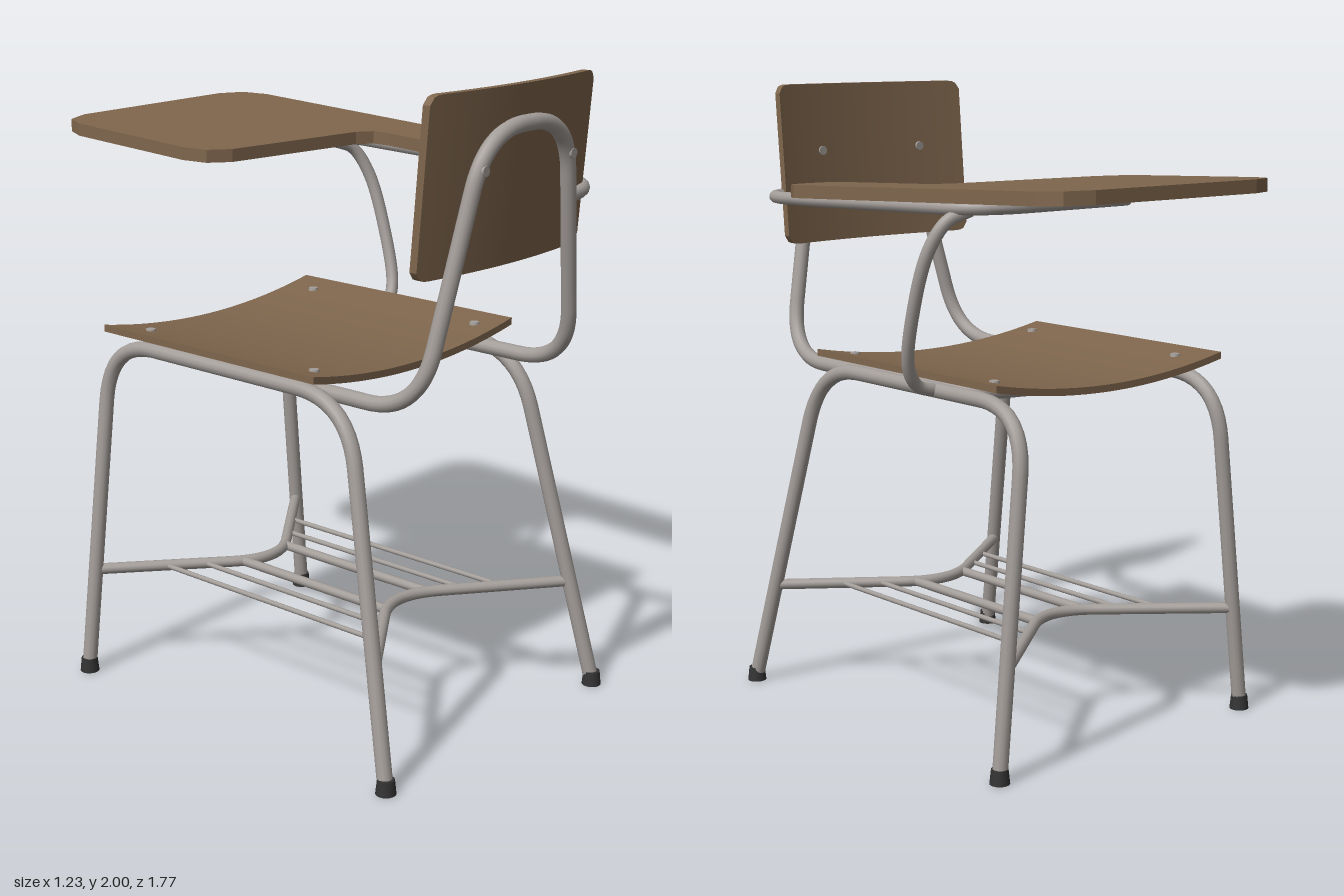
import * as THREE from 'three';

const wood = new THREE.MeshStandardMaterial({ color: 0x7f664d });
wood.name = 'brownWood';
const metal = new THREE.MeshStandardMaterial({ color: 0xa39d99, side: THREE.DoubleSide });
metal.name = 'greySteel';
const rubber = new THREE.MeshStandardMaterial({ color: 0x333333 });
rubber.name = 'blackRubber';

const V = (p) => new THREE.Vector3(...p);

function add(parent, name, geometry, material, pos = [0, 0, 0]) {
  const mesh = new THREE.Mesh(geometry, material);
  mesh.name = name;
  mesh.position.set(...pos);
  parent.add(mesh);
  return mesh;
}

// Polyline with rounded corners; each point may carry a bend length as 4th value
function bentPath(points) {
  const path = new THREE.CurvePath();
  let from = V(points[0].slice(0, 3));
  for (let i = 1; i < points.length - 1; i++) {
    const c = V(points[i].slice(0, 3));
    const t = points[i][3] ?? 0.1;
    const a = V(points[i - 1].slice(0, 3)).sub(c).setLength(t).add(c);
    const b = V(points[i + 1].slice(0, 3)).sub(c).setLength(t).add(c);
    path.add(new THREE.LineCurve3(from, a));
    path.add(new THREE.QuadraticBezierCurve3(a, c, b));
    from = b;
  }
  path.add(new THREE.LineCurve3(from, V(points[points.length - 1].slice(0, 3))));
  return path;
}

function tube(parent, name, curve, radius, segments = 80) {
  return add(parent, name, new THREE.TubeGeometry(curve, segments, radius, 12), metal);
}

// Moves every vertex by a rule and refreshes the normals
function reshape(geometry, rule) {
  const p = geometry.attributes.position;
  for (let i = 0; i < p.count; i++) {
    p.setXYZ(i, ...rule(p.getX(i), p.getY(i), p.getZ(i)));
  }
  geometry.computeVertexNormals();
  return geometry;
}

export function createModel() {
  const model = new THREE.Group();
  model.name = 'tabletArmChair';

  // The chair stands slightly turned
  const chair = new THREE.Group();
  chair.name = 'chair';
  chair.rotation.y = 0.118;
  chair.position.set(-0.02, 0, 0);
  model.add(chair);

  // Side frames: front leg, rail and back leg in one bent tube, with rubber feet
  for (const s of [-1, 1]) {
    tube(chair, 'legFrame', bentPath([
      [s * 0.513, 0.02, -0.487],
      [s * 0.4, 1.105, -0.468, 0.2],
      [s * 0.4, 1.105, 0.54, 0.2],
      [s * 0.513, 0.02, 0.788],
    ]), 0.024, 100);
    for (const z of [-0.487, 0.79]) {
      add(chair, 'foot', new THREE.CylinderGeometry(0.026, 0.031, 0.046, 16), rubber, [s * 0.513, 0.023, z]);
    }
  }

  // Back frame: closed loop under the seat and up behind the backrest
  const half = [[0.36, 1.1, -0.15, 0.13], [0.36, 1.1, 0.765, 0.19], [0.188, 1.89, 0.85, 0.17]];
  const mirrored = half.map(([x, ...rest]) => [-x, ...rest]).reverse();
  tube(chair, 'backFrame', bentPath([[0, 1.083, -0.15], ...half, ...mirrored, [0, 1.083, -0.15]]), 0.024, 200);

  // Seat: thin board dished across its width
  add(chair, 'seat', reshape(new THREE.BoxGeometry(0.934, 0.022, 0.885, 24, 1, 1),
    (x, y, z) => [x, y + 0.048 * (x / 0.467) ** 2, z]), wood, [0, 1.116, 0.022]);

  // Backrest: curved, leaning board with rounded corners
  const W = 0.378, R = 0.04;
  add(chair, 'backrest', reshape(new THREE.BoxGeometry(W * 2, 0.52, 0.025, 56, 1, 1), (x, y, z) => {
    const d = Math.max(0, Math.abs(x) - (W - R));
    const inset = 0.7 * (R - Math.sqrt(Math.max(0, R * R - d * d)));
    const h = y - Math.sign(y) * inset;
    const lean = 0.083 * (h + 0.26);
    return [x, h, z + lean + 0.035 * (1 - (x / W) ** 2)];
  }), wood, [0, 1.74, 0.7495]);

  // Rivets on seat and backrest
  for (const s of [-1, 1]) {
    for (const z of [-0.305, 0.385]) {
      add(chair, 'seatRivet', new THREE.CylinderGeometry(0.015, 0.017, 0.012, 16), metal, [s * 0.377, 1.159, z]);
    }
    for (const z of [0.786, 0.859]) {
      add(chair, 'backRivet', new THREE.CylinderGeometry(0.015, 0.015, 0.012, 16), metal,
        [s * 0.205, 1.78, z]).rotation.x = Math.PI / 2;
    }
  }

  // Book rack: two bowed bars between the legs, joined by rods
  const rackY = 0.345;
  const rack = new THREE.Group();
  rack.name = 'bookRack';
  chair.add(rack);
  const backAt = (x) => 0.36 + (0.71 - 0.36) * x / 0.478;
  const frontAt = (x) => -0.1 - (0.483 - 0.1) * x / 0.478;
  for (const at of [backAt, frontAt]) {
    tube(rack, 'rackBar', bentPath([
      [-0.478, rackY, at(0.478)], [0, rackY, at(0), 0.17], [0.478, rackY, at(0.478)],
    ]), 0.018);
  }
  for (const [x, r] of [[0.1, 0.015], [0.2, 0.008], [0.3, 0.008]]) {
    for (const s of [-1, 1]) {
      tube(rack, 'rackRod', new THREE.LineCurve3(
        V([s * x, rackY, frontAt(x)]), V([s * x, rackY, backAt(x)])), r, 1);
    }
  }

  // Writing tablet: L-shaped board, rising gently to the front
  const outline = [
    [-0.28, -0.81], [0.35, -0.89], [0.44, -0.867], [0.483, -0.79], [0.613, 0.33], [0.59, 0.39],
    [0.53, 0.42], [0.45, 0.42], [0.415, 0.39], [0.405, 0.33], [0.365, -0.03], [0.345, -0.083],
    [0.29, -0.105], [-0.22, -0.105], [-0.295, -0.138], [-0.33, -0.21], [-0.382, -0.69], [-0.36, -0.765],
  ];
  const shape = new THREE.Shape(outline.map(([x, z]) => new THREE.Vector2(x, -z)));
  const board = new THREE.ExtrudeGeometry(shape, { depth: 0.04, bevelEnabled: false });
  board.rotateX(-Math.PI / 2);
  add(model, 'writingTablet', reshape(board,
    (x, y, z) => [x, y + 1.663 + (0.43 - z) * 0.0455, z]), wood);

  // Arm tube from the back frame, forward and across below the tablet
  const armPoints = [
    [0.31, 0.79], [0.53, 0.71, 0.16], [0.525, 0.42, 0.04], [0.41, -0.41, 0.2], [-0.18, -0.33],
  ].map(([x, z, t]) => [x, 1.664 - z * 0.03, z, t]);
  tube(model, 'armTube', bentPath(armPoints), 0.02, 120);

  // Strut from the seat rail up to the arm tube
  tube(model, 'tabletStrut', new THREE.CatmullRomCurve3([
    [0.37, 1.105, -0.11], [0.44, 1.125, -0.115], [0.485, 1.19, -0.135], [0.503, 1.38, -0.2],
    [0.485, 1.55, -0.255], [0.44, 1.635, -0.285], [0.37, 1.665, -0.3],
  ].map(V)), 0.02, 60);

  return model;
}
